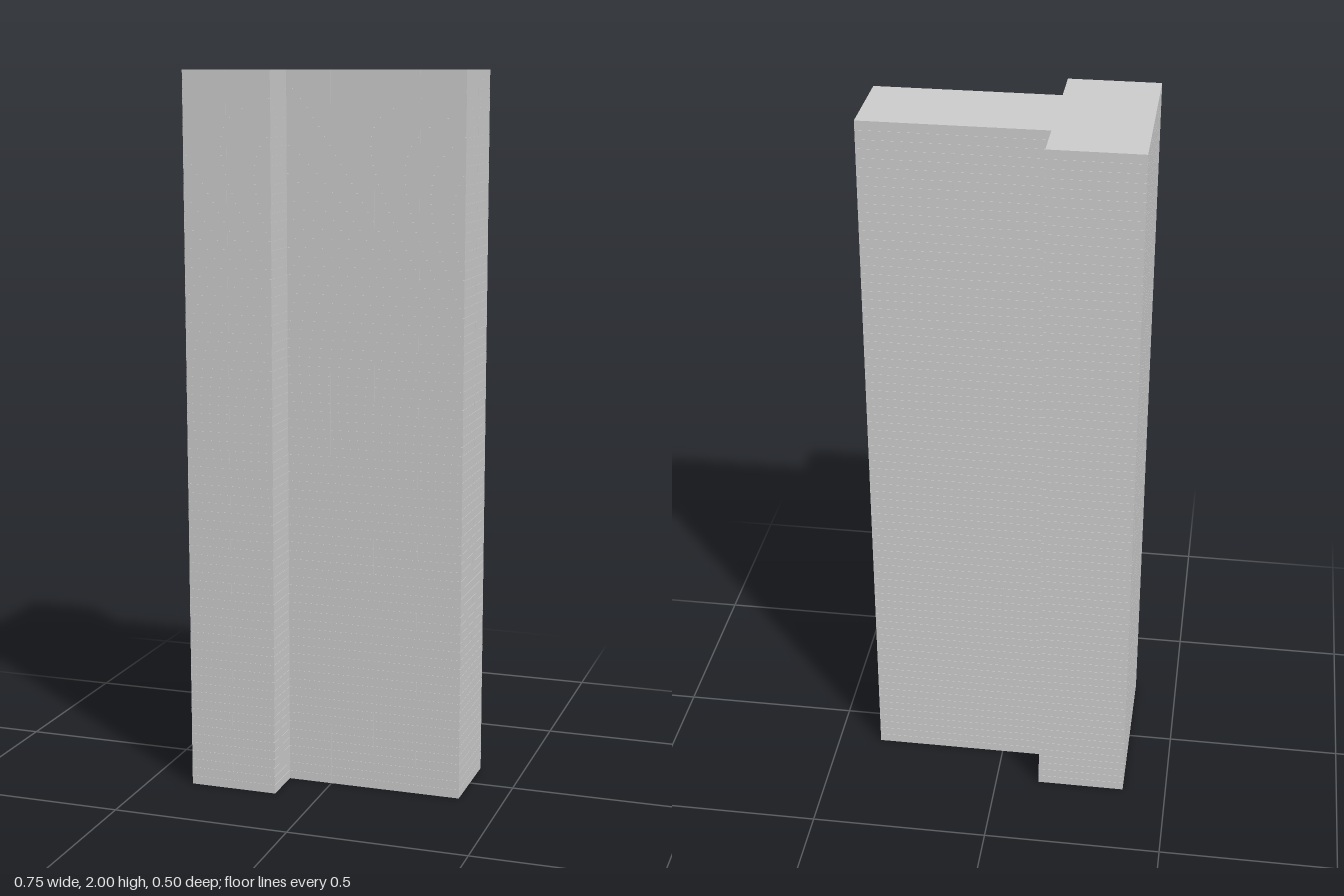
import * as THREE from 'three';
import { mergeGeometries } from 'three/addons/utils/BufferGeometryUtils.js';

const HEIGHT = 2, STOREYS = 80, BAY = 0.125, GAP = 0.001;

// T-shaped plan: a cross wing on the right (-x), a stem running to +x
function plan(inset) {
  const e = 0.375 - inset, w = 0.25 - inset, s = 0.125 - inset, j = -0.125 - inset;
  return [[-e, -w], [j, -w], [j, -s], [e, -s], [e, s], [j, s], [j, w], [-e, w]]
    .map(([x, z]) => new THREE.Vector2(x, z));
}

// Extrude the plan upwards from y0 to y1
function prism(inset, y0, y1) {
  const g = new THREE.ExtrudeGeometry(new THREE.Shape(plan(inset)), { depth: y1 - y0, bevelEnabled: false });
  return g.rotateX(-Math.PI / 2).translate(0, y0, 0);
}

// One thin panel per bay and storey, flush with the outline, with fine joints between
function facadePanels() {
  const panels = [], pts = plan(0), storey = HEIGHT / STOREYS, depth = 0.002;
  pts.forEach((a, i) => {
    const b = pts[(i + 1) % pts.length];
    const dir = b.clone().sub(a), bays = Math.round(dir.length() / BAY);
    dir.normalize();
    const out = new THREE.Vector2(dir.y, -dir.x);
    for (let k = 0; k < bays; k++) {
      const p = a.clone().addScaledVector(dir, (k + 0.5) * BAY).addScaledVector(out, -depth / 2);
      for (let f = 0; f < STOREYS; f++) {
        const g = new THREE.BoxGeometry(BAY - GAP, storey - GAP, depth);
        if (Math.abs(dir.y) > 0.5) g.rotateY(Math.PI / 2);
        panels.push(g.translate(p.x, (f + 0.5) * storey, p.y));
      }
    }
  });
  return mergeGeometries(panels);
}

export function createModel() {
  const tower = new THREE.Group();
  tower.name = 'tower';
  const material = new THREE.MeshStandardMaterial({ color: 0xcccccc, flatShading: true });
  const add = (name, geometry) => {
    const mesh = new THREE.Mesh(geometry, material);
    mesh.name = name;
    tower.add(mesh);
  };
  add('core', prism(GAP, GAP / 4, HEIGHT - GAP / 4));
  add('facadePanels', facadePanels());
  // Thin full-size slabs close the top and bottom
  add('base', prism(0, 0, GAP / 2));
  add('roof', prism(0, HEIGHT - GAP / 2, HEIGHT));
  return tower;
}
